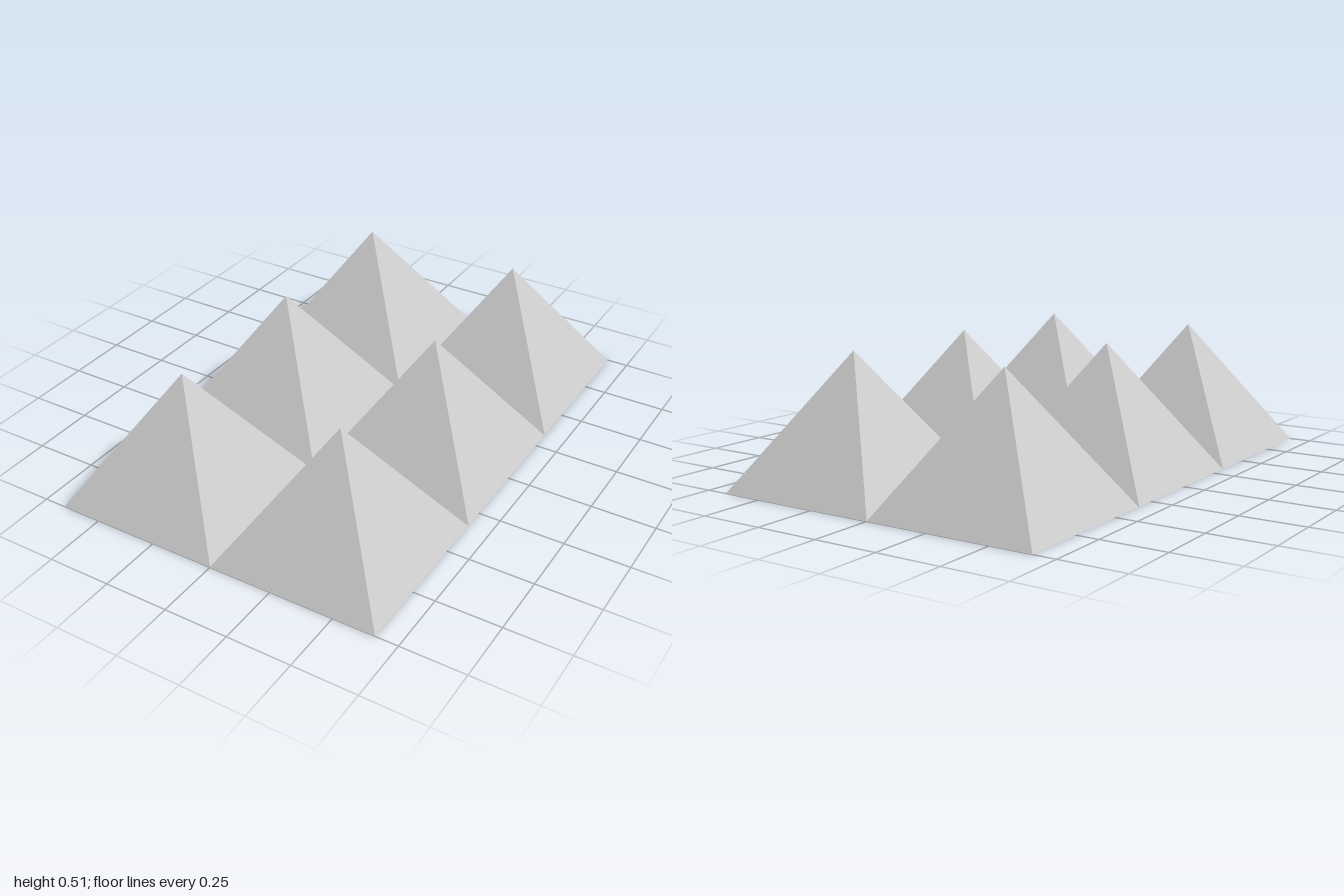
import * as THREE from 'three';

const BASE = 0.664, HEIGHT = 0.507;
const STEP_X = 0.662, STEP_Z = 0.668;

// Hollow four-sided pyramid, open underneath, standing on y = 0
function pyramidGeometry() {
  const cone = new THREE.ConeGeometry(BASE / Math.SQRT2, HEIGHT, 4, 1, true);
  cone.rotateY(Math.PI / 4);
  cone.translate(0, HEIGHT / 2, 0);
  const flat = cone.toNonIndexed();
  flat.computeVertexNormals();
  return flat;
}

export function createModel() {
  const group = new THREE.Group();
  group.name = 'pyramidGrid';
  const material = new THREE.MeshStandardMaterial({
    color: 0xcccccc, flatShading: true, side: THREE.DoubleSide,
  });
  const geometry = pyramidGeometry();

  // Two columns by three rows
  for (let row = 0; row < 3; row++) {
    for (let col = 0; col < 2; col++) {
      const pyramid = new THREE.Mesh(geometry, material);
      pyramid.name = `pyramidRow${row + 1}Column${col + 1}`;
      pyramid.position.set((col - 0.5) * STEP_X, 0, (row - 1) * STEP_Z);
      group.add(pyramid);
    }
  }
  return group;
}
